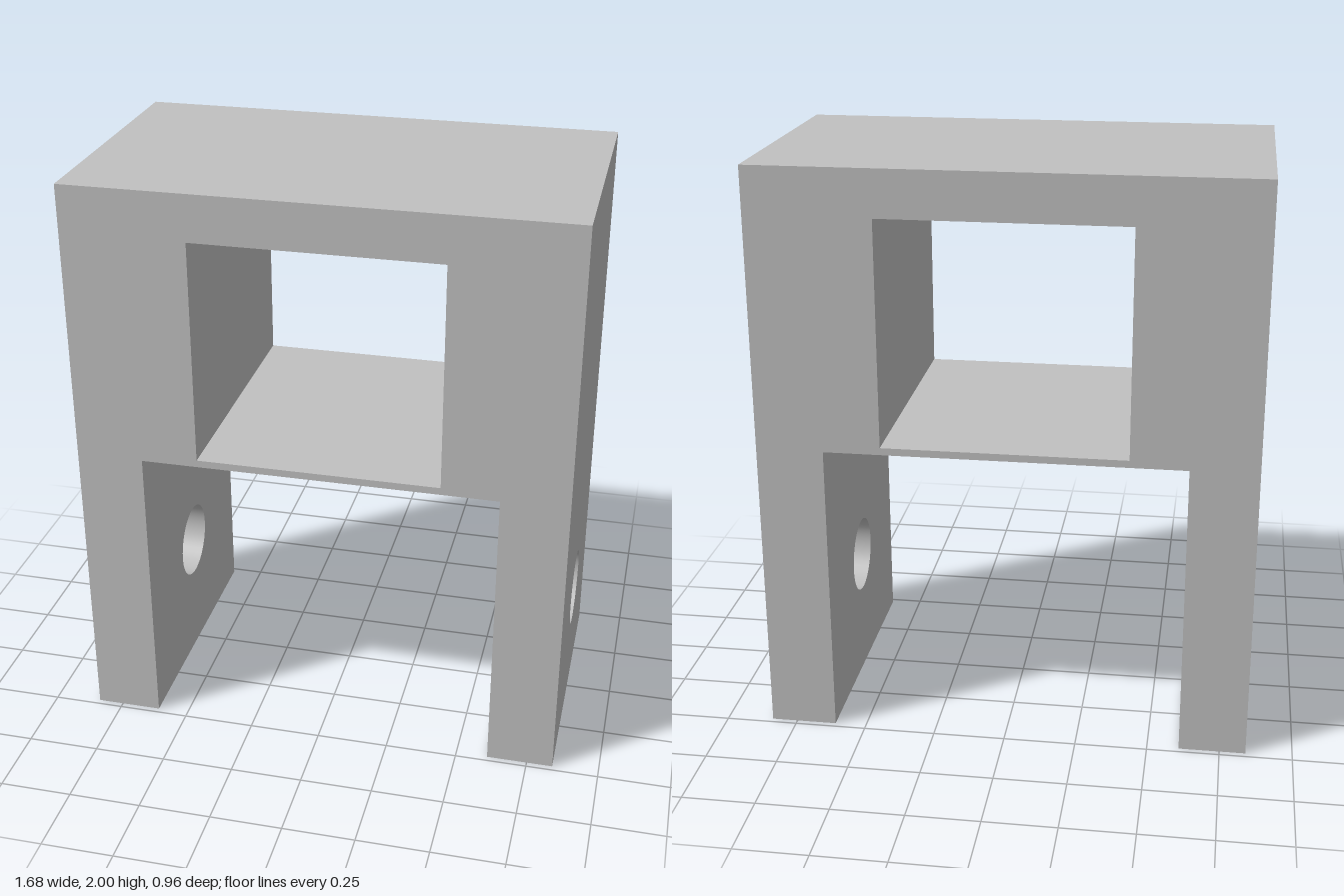
import * as THREE from 'three';

const W = 0.84, H = 2, D = 0.48;            // half width, height, half depth
const LEG_X = 0.61, LEG_H = 1.04;           // slot between the legs
const WIN_X = 0.415, WIN_LO = 1.065, WIN_HI = 1.84; // window opening
const HOLE_Y = 0.443, HOLE_R = 0.135;       // cross holes in the legs
const Q = Math.PI / 2;

function polygon(points) {
  return new THREE.Shape(points.map(([x, y]) => new THREE.Vector2(x, y)));
}

function rect(x0, y0, x1, y1) {
  return polygon([[x0, y0], [x1, y0], [x1, y1], [x0, y1]]);
}

function withHole(shape) {
  const hole = new THREE.Path();
  hole.absarc(0, HOLE_Y, HOLE_R, 0, Math.PI * 2, true);
  shape.holes.push(hole);
  return shape;
}

export function createModel() {
  const model = new THREE.Group();
  model.name = 'bracket';
  const grey = new THREE.MeshStandardMaterial({ color: 0xc0c0c0 });
  grey.name = 'grey';

  // One flat face, drawn in xy facing +z, then turned and placed
  function face(name, shape, position, rx = 0, ry = 0) {
    const mesh = new THREE.Mesh(new THREE.ShapeGeometry(shape, 24), grey);
    mesh.name = name;
    mesh.rotation.set(rx, ry, 0);
    mesh.position.set(...position);
    model.add(mesh);
  }

  // Arched front and back with the window opening
  const arch = polygon([
    [-W, 0], [-LEG_X, 0], [-LEG_X, LEG_H], [LEG_X, LEG_H],
    [LEG_X, 0], [W, 0], [W, H], [-W, H],
  ]);
  arch.holes.push(rect(-WIN_X, WIN_LO, WIN_X, WIN_HI));
  face('frontFace', arch, [0, 0, D]);
  face('backFace', arch, [0, 0, -D], 0, Math.PI);

  // Horizontal faces
  face('top', rect(-W, -D, W, D), [0, H, 0], -Q);
  face('slotCeiling', rect(-LEG_X, -D, LEG_X, D), [0, LEG_H, 0], Q);
  face('windowFloor', rect(-WIN_X, -D, WIN_X, D), [0, WIN_LO, 0], -Q);
  face('windowCeiling', rect(-WIN_X, -D, WIN_X, D), [0, WIN_HI, 0], Q);

  for (const [side, s] of [['left', 1], ['right', -1]]) {
    // Vertical side faces, feet and window walls
    face(side + 'OuterSide', withHole(rect(-D, 0, D, H)), [s * W, 0, 0], 0, s * Q);
    face(side + 'LegInside', withHole(rect(-D, 0, D, LEG_H)), [s * LEG_X, 0, 0], 0, -s * Q);
    face(side + 'WindowWall', rect(-D, WIN_LO, D, WIN_HI), [s * WIN_X, 0, 0], 0, -s * Q);
    const legHalf = (W - LEG_X) / 2, legMid = s * (W + LEG_X) / 2;
    face(side + 'Foot', rect(-legHalf, -D, legHalf, D), [legMid, 0, 0], Q);

    // Smooth bore through the leg, facing inward
    const bore = new THREE.Mesh(new THREE.LatheGeometry([
      new THREE.Vector2(HOLE_R, legHalf), new THREE.Vector2(HOLE_R, -legHalf),
    ], 48), grey);
    bore.name = side + 'LegBore';
    bore.rotation.z = Q;
    bore.position.set(legMid, HOLE_Y, 0);
    model.add(bore);
  }
  return model;
}
